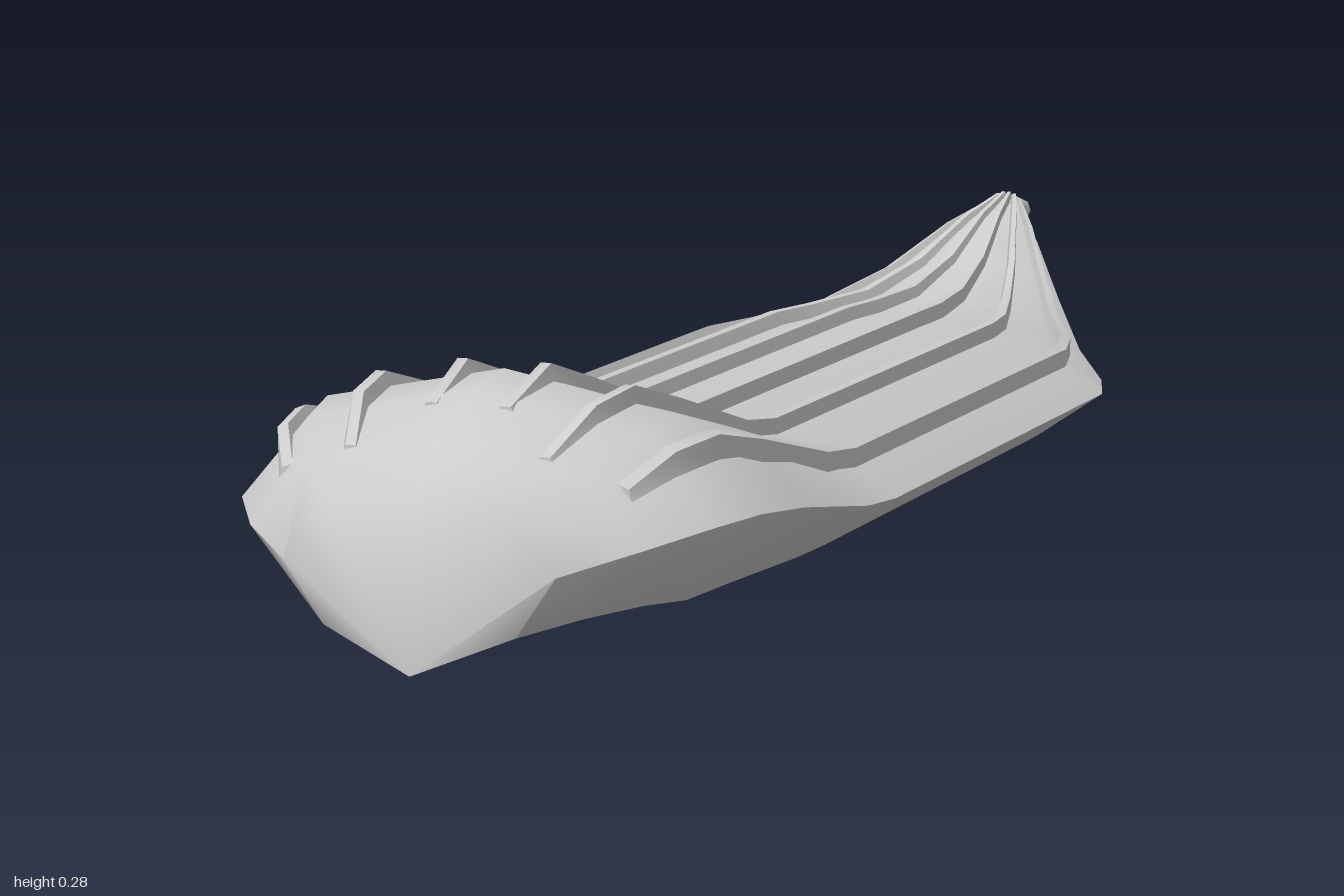
import * as THREE from 'three';
import { toCreasedNormals } from 'three/addons/utils/BufferGeometryUtils.js';

// Hull stations from front to back: z, half width, top y, widest y, bottom y
const STATIONS = [
  [0.975, 0.148, 0.187, 0.105, 0.015],
  [0.91, 0.215, 0.225, 0.125, 0.022],
  [0.83, 0.262, 0.264, 0.138, 0.018],
  [0.75, 0.283, 0.275, 0.14, 0.006],
  [0.62, 0.283, 0.238, 0.125, 0.005],
  [0.42, 0.283, 0.178, 0.093, 0.005],
  [0.33, 0.283, 0.165, 0.086, 0.005],
  [-0.44, 0.283, 0.163, 0.085, 0.005],
  [-0.53, 0.255, 0.16, 0.087, 0.017],
  [-0.65, 0.19, 0.163, 0.104, 0.05],
  [-0.77, 0.125, 0.19, 0.148, 0.107],
  [-0.87, 0.065, 0.235, 0.205, 0.175],
  [-0.94, 0.02, 0.256, 0.238, 0.22],
  [-0.965, 0.014, 0.254, 0.24, 0.225],
  [-1, 0.014, 0.245, 0.23, 0.215],
];

// Skin between rings (counterclockwise seen from +z, front to back), closed at both ends
function loft(rings, frontPoint, backPoint, crease) {
  const n = rings[0].length;
  const points = [...rings.flat(), frontPoint, backPoint];
  const front = points.length - 2, back = points.length - 1;
  const index = [];
  for (let j = 0; j < n; j++) {
    const k = (j + 1) % n;
    index.push(front, j, k);
    for (let i = 0; i < rings.length - 1; i++) {
      const a = i * n + j, b = i * n + k;
      index.push(a, a + n, b, b, a + n, b + n);
    }
    const last = (rings.length - 1) * n;
    index.push(back, last + k, last + j);
  }
  const geometry = new THREE.BufferGeometry();
  geometry.setAttribute('position', new THREE.Float32BufferAttribute(points.flat(), 3));
  geometry.setIndex(index);
  return toCreasedNormals(geometry, crease);
}

// Octagonal section at one station
function hullRing([z, w, top, mid, bottom]) {
  return Array.from({ length: 8 }, (_, i) => {
    const c = Math.cos(i * Math.PI / 4), s = Math.sin(i * Math.PI / 4);
    return [w * c, mid + s * (s > 0 ? top - mid : mid - bottom), z];
  });
}

// Station values at any z
function stationAt(z) {
  let i = 0;
  while (i < STATIONS.length - 2 && STATIONS[i + 1][0] > z) i++;
  const a = STATIONS[i], b = STATIONS[i + 1];
  const t = (z - a[0]) / (b[0] - a[0]);
  return a.map((v, k) => v + (b[k] - v) * t);
}

// Raised rib following the upper skin at a fixed fraction of the width
function ribGeometry(fraction, side, frontZ) {
  const f = Math.abs(fraction);
  const rise = f < Math.SQRT1_2
    ? 1 - (1 - Math.SQRT1_2) * f / Math.SQRT1_2
    : Math.SQRT1_2 * (1 - f) / (1 - Math.SQRT1_2);
  const zs = [frontZ, ...STATIONS.map(s => s[0]).filter(z => z < frontZ - 0.02 && z > -0.95)];
  const rings = zs.map((z, i) => {
    const [, w, top, mid] = stationAt(z);
    const x = side * f * w, y = mid + rise * (top - mid);
    const scale = Math.min(1, 0.3 + w * 3);
    const height = (i === 0 ? 0.003 : 0.017) * scale;
    const base = 0.01 * scale, crown = 0.006 * scale;
    const lean = side * f * 0.35 * height;
    const drop = f > Math.SQRT1_2 ? side * 0.006 * scale : 0;
    return [
      [x + base, y - 0.006 * scale - drop, z],
      [x + lean + crown, y + height - drop * 0.4, z],
      [x + lean - crown, y + height + drop * 0.4, z],
      [x - base, y - 0.006 * scale + drop, z],
    ];
  });
  const centre = ring => [0, 1, 2].map(k => ring.reduce((sum, p) => sum + p[k], 0) / ring.length);
  return loft(rings, centre(rings[0]), centre(rings[rings.length - 1]), 0.6);
}

export function createModel() {
  const model = new THREE.Group();
  model.name = 'ribbedHull';
  const grey = new THREE.MeshStandardMaterial({ color: 0xcccccc });
  grey.name = 'light grey';

  // Hull with a pointed chin at the front and a short stem at the back
  const hull = new THREE.Mesh(
    loft(STATIONS.map(hullRing), [0, 0, 1], [0, 0.23, -1], 1.0), grey);
  hull.name = 'hull';
  model.add(hull);

  // Three ribs on each side
  const ribs = new THREE.Group();
  ribs.name = 'ribs';
  const layout = [['inner', 0.16, 0.845], ['middle', 0.48, 0.9], ['outer', 0.8, 0.885]];
  for (const [name, fraction, frontZ] of layout) {
    for (const side of [1, -1]) {
      const rib = new THREE.Mesh(ribGeometry(fraction, side, frontZ), grey);
      rib.name = `${name}Rib${side > 0 ? 'Left' : 'Right'}`;
      ribs.add(rib);
    }
  }
  model.add(ribs);
  return model;
}
